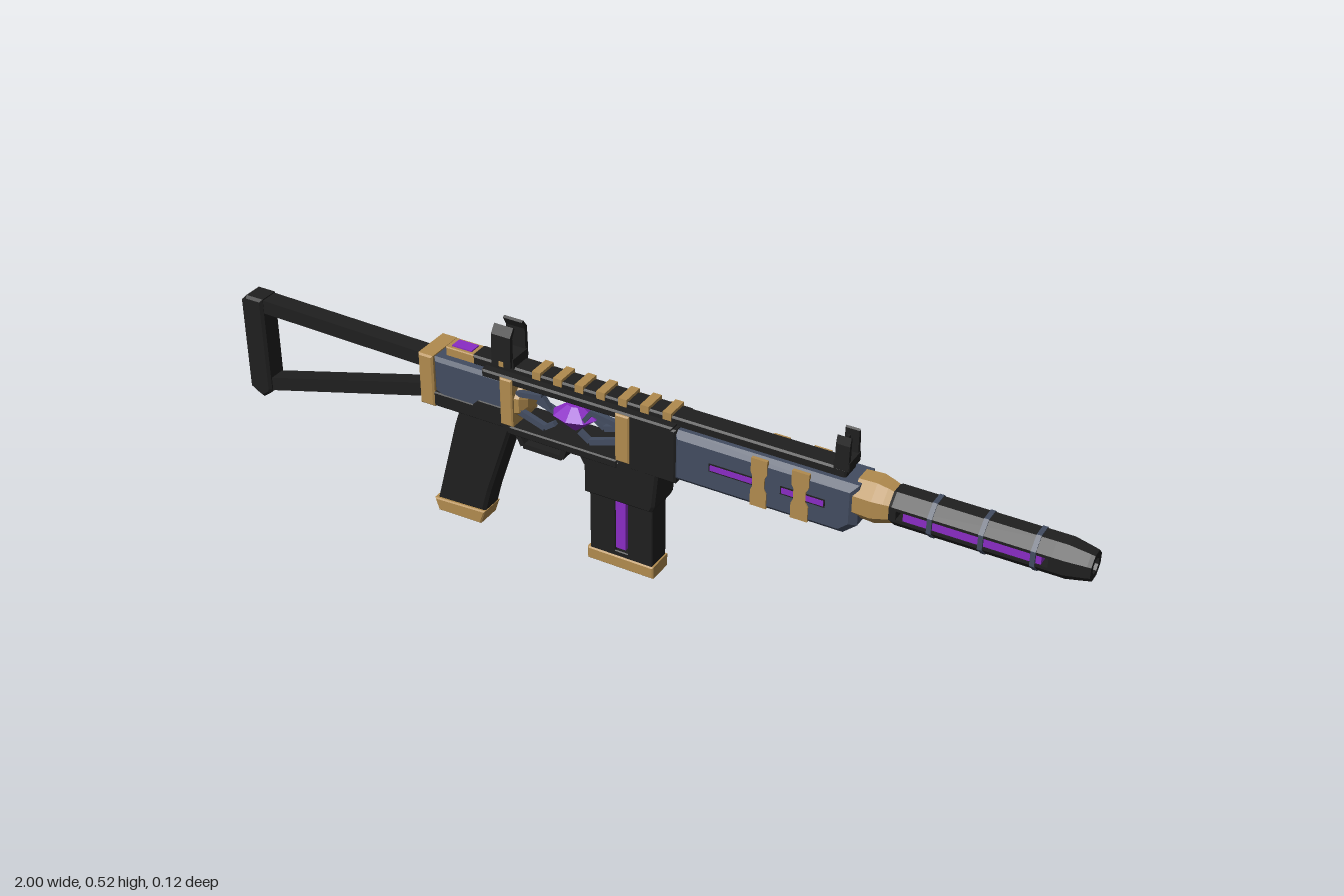
import * as THREE from 'three';

const material = (name, color) => {
  const m = new THREE.MeshStandardMaterial({ color });
  m.name = name;
  return m;
};

export function createModel() {
  const model = new THREE.Group();
  model.name = 'rifle';
  const body = new THREE.Group();
  body.name = 'rifleBody';
  body.position.z = 0.008;
  model.add(body);

  const black = material('black', 0x1f1f1f);
  const blue = material('slateBlue', 0x424c60);
  const gold = material('gold', 0xb18b4e);
  const purple = material('purple', 0x8a2cc4);

  const add = (name, geo, mat) => {
    const mesh = new THREE.Mesh(geo, mat);
    mesh.name = name;
    body.add(mesh);
    return mesh;
  };
  const toShape = pts => new THREE.Shape(pts.map(p => new THREE.Vector2(p[0], p[1])));
  const toPath = pts => new THREE.Path(pts.map(p => new THREE.Vector2(p[0], p[1])));

  // Side outline (x, y) given a width across z, with chamfered edges
  const profile = (name, pts, width, mat, bevel = 0.006, hole) => {
    const shape = toShape(pts);
    if (hole) shape.holes.push(toPath(hole));
    const geo = new THREE.ExtrudeGeometry(shape, {
      depth: width - 2 * bevel, bevelEnabled: bevel > 0, bevelSize: bevel,
      bevelThickness: bevel, bevelOffset: -bevel, bevelSegments: 1, curveSegments: 4
    });
    geo.translate(0, 0, -width / 2 + bevel);
    return add(name, geo, mat);
  };
  const rect = (x0, x1, y0, y1) => [[x0, y0], [x1, y0], [x1, y1], [x0, y1]];
  const block = (name, x0, x1, y0, y1, width, mat, bevel = 0.004) =>
    profile(name, rect(x0, x1, y0, y1), width, mat, bevel);
  const box = (name, x0, x1, y0, y1, z0, z1, mat) => {
    const geo = new THREE.BoxGeometry(x1 - x0, y1 - y0, z1 - z0);
    geo.translate((x0 + x1) / 2, (y0 + y1) / 2, (z0 + z1) / 2);
    return add(name, geo, mat);
  };
  // Cross-section (z, y) swept along x
  const section = (name, pts, x0, x1, mat) => {
    const geo = new THREE.ExtrudeGeometry(toShape(pts), { depth: x1 - x0, bevelEnabled: false });
    geo.rotateY(Math.PI / 2).translate(x0, 0, 0);
    return add(name, geo, mat);
  };
  // Faceted octagonal turning along x: list of [x, radius]
  const turned = (name, pts, y, mat) => {
    const k = 1 / Math.cos(Math.PI / 8);
    const outline = pts.map(([x, r]) => new THREE.Vector2(r * k, x));
    const geo = new THREE.LatheGeometry(outline, 8, Math.PI / 8).toNonIndexed();
    geo.computeVertexNormals();
    geo.rotateZ(-Math.PI / 2).translate(0, y, 0);
    return add(name, geo, mat);
  };
  // Square bar between two points in the side plane
  const bar = (name, a, b, thick, width, mat, z = 0) => {
    const dx = b[0] - a[0], dy = b[1] - a[1];
    const geo = new THREE.BoxGeometry(Math.hypot(dx, dy), thick, width);
    geo.rotateZ(Math.atan2(dy, dx)).translate((a[0] + b[0]) / 2, (a[1] + b[1]) / 2, z);
    return add(name, geo, mat);
  };

  // Skeleton stock
  profile('buttPad', [[-0.985, 0.155], [-0.965, 0.145], [-0.945, 0.16], [-0.94, 0.17],
    [-0.94, 0.405], [-0.985, 0.405], [-1, 0.39], [-1, 0.165]], 0.056, black, 0.006);
  bar('upperStockBar', [-0.95, 0.386], [-0.48, 0.378], 0.033, 0.042, black);
  bar('lowerStockBar', [-0.96, 0.178], [-0.48, 0.31], 0.032, 0.038, black);
  block('stockMount', -0.5, -0.463, 0.288, 0.413, 0.1, gold);

  // Rear receiver
  profile('rearReceiver', [[-0.465, 0.325], [-0.44, 0.315], [-0.27, 0.315], [-0.27, 0.41],
    [-0.465, 0.41]], 0.092, blue, 0.008);
  profile('lowerReceiver', [[-0.465, 0.29], [-0.29, 0.29], [-0.275, 0.278], [-0.1, 0.278],
    [-0.01, 0.278], [-0.01, 0.298], [-0.27, 0.298], [-0.29, 0.34], [-0.35, 0.34],
    [-0.365, 0.325], [-0.465, 0.325]], 0.096, black, 0.003);
  block('receiverRoof', -0.34, 0.12, 0.399, 0.418, 0.092, black);
  block('rearBand', -0.293, -0.262, 0.3, 0.414, 0.102, gold, 0.003);
  block('frontBand', -0.012, 0.021, 0.3, 0.414, 0.102, gold, 0.003);
  bar('selectorLever', [-0.385, 0.37], [-0.345, 0.345], 0.015, 0.006, black, -0.046);

  // Rear top box with glowing plate
  block('rearTopBox', -0.445, -0.37, 0.405, 0.43, 0.045, gold, 0.002);
  box('rearTopPlate', -0.434, -0.384, 0.428, 0.433, -0.014, 0.014, purple);

  // Crystal chamber in the open window
  turned('crystalSocket', [[-0.265, 0], [-0.265, 0.044], [-0.252, 0.04], [-0.242, 0.02],
    [-0.242, 0]], 0.35, gold);
  const gem = (name, top, bottom, y0, y1) => {
    const geo = new THREE.CylinderGeometry(top, bottom, y1 - y0, 8).toNonIndexed();
    geo.computeVertexNormals();
    geo.scale(1, 1, 0.75).translate(-0.138, (y0 + y1) / 2, 0);
    add(name, geo, purple);
  };
  gem('crystalCrown', 0.018, 0.052, 0.345, 0.37);
  gem('crystalPoint', 0.052, 0.006, 0.308, 0.345);
  for (const z of [-0.03, 0.03]) {
    for (const s of [-1, 1]) {
      const at = (dx, y) => [-0.138 + s * dx, y];
      bar('upperCrystalClaw', at(0.125, 0.375), at(0.06, 0.385), 0.012, 0.012, blue, z);
      bar('upperClawTip', at(0.06, 0.385), at(0.042, 0.36), 0.01, 0.012, blue, z);
      bar('lowerCrystalClaw', at(0.125, 0.335), at(0.055, 0.312), 0.014, 0.012, blue, z);
      bar('lowerClawTip', at(0.055, 0.312), at(0.03, 0.33), 0.01, 0.012, blue, z);
    }
  }

  // Front receiver and magazine well
  block('frontReceiver', 0.015, 0.128, 0.285, 0.414, 0.092, black);
  profile('magazineWell', [[-0.092, 0.19], [0.07, 0.19], [0.077, 0.205], [0.085, 0.285],
    [0.12, 0.295], [0.12, 0.325], [0.02, 0.325], [-0.01, 0.295], [-0.11, 0.288],
    [-0.092, 0.255]], 0.09, black, 0.006);
  const knob = new THREE.CylinderGeometry(0.018, 0.018, 0.011, 8).rotateX(Math.PI / 2).toNonIndexed();
  knob.computeVertexNormals();
  knob.translate(0.058, 0.385, -0.0605);
  add('chargingKnob', knob, gold);
  box('chargingStem', 0.051, 0.065, 0.379, 0.392, -0.056, -0.04, gold);

  // Magazine with a slot and glowing core
  profile('magazine', rect(-0.086, 0.066, 0.03, 0.21), 0.06, black, 0.002,
    rect(-0.024, 0.006, 0.054, 0.2));
  box('magazineCore', -0.024, 0, 0.06, 0.2, -0.027, 0.027, purple);
  block('magazineBase', -0.092, 0.07, 0.012, 0.042, 0.066, gold, 0.003);

  // Grip
  profile('grip', [[-0.485, 0.03], [-0.36, 0.035], [-0.345, 0.09], [-0.275, 0.3], [-0.41, 0.3],
    [-0.43, 0.24]], 0.06, black, 0.007);
  profile('gripBase', [[-0.482, 0], [-0.37, 0.002], [-0.358, 0.037], [-0.492, 0.031]], 0.064, gold, 0.003);

  // Trigger and guard
  const guard = [[-0.285, 0.285], [-0.26, 0.236], [-0.164, 0.236], [-0.148, 0.285]];
  for (let i = 0; i < 3; i++) bar('triggerGuard', guard[i], guard[i + 1], 0.012, 0.036, black);
  bar('trigger', [-0.205, 0.285], [-0.212, 0.248], 0.01, 0.016, black);

  // Handguard
  profile('handguard', [[0.12, 0.292], [0.5, 0.292], [0.53, 0.318], [0.53, 0.412], [0.12, 0.412]],
    0.098, blue, 0.014);
  for (const s of [-1, 1]) {
    for (const [x0, x1] of [[0.302, 0.338], [0.392, 0.43]]) {
      const m = (x0 + x1) / 2;
      const plate = profile('handguardBand', [[x0, 0.3], [x1, 0.3], [x1, 0.335], [m + 0.013, 0.345],
        [m + 0.013, 0.37], [x1, 0.38], [x1, 0.412], [x0, 0.412], [x0, 0.38], [m - 0.014, 0.37],
        [m - 0.014, 0.345], [x0, 0.335]], 0.008, gold, 0);
      plate.position.z = s * 0.048;
    }
    for (const [x0, x1] of [[0.21, 0.305], [0.37, 0.462]]) {
      const z = s * 0.048;
      box('handguardSlot', x0 - 0.003, x1 + 0.003, 0.346, 0.365, z - 0.002, z + 0.002, black);
      box('handguardGlow', x0, x1, 0.349, 0.362, z - 0.003, z + 0.003, purple);
    }
  }
  box('rearSidePlate', 0.165, 0.205, 0.33, 0.36, -0.0515, -0.045, black);

  // Top rail with gold teeth
  block('topRail', -0.375, 0.495, 0.408, 0.431, 0.05, black);
  for (let i = 0; i < 7; i++) {
    const x = -0.215 + i * 0.052;
    box('railTooth', x - 0.01, x + 0.01, 0.42, 0.438, -0.027, 0.027, gold);
  }

  // Rear sight with hooked ears
  box('rearSightBase', -0.323, -0.27, 0.428, 0.452, -0.028, 0.028, black);
  for (const s of [-1, 1]) {
    const ear = [[0.035, 0.432], [0.033, 0.504], [0.019, 0.523], [0.014, 0.519], [0.024, 0.5],
      [0.024, 0.432]].map(([z, y]) => [s * z, y]);
    section('rearSightEar', ear, -0.32, -0.273, black);
    box('rearSightBolt', -0.302, -0.29, 0.432, 0.444, s * 0.033 - 0.003, s * 0.033 + 0.003, gold);
  }

  // Front sight with centre post
  box('frontSightBase', 0.468, 0.502, 0.428, 0.448, -0.026, 0.026, black);
  box('frontSightPost', 0.482, 0.488, 0.44, 0.495, -0.003, 0.003, black);
  for (const s of [-1, 1]) {
    const ear = [[0.027, 0.432], [0.025, 0.485], [0.02, 0.503], [0.016, 0.5], [0.017, 0.445]];
    section('frontSightEar', ear.map(([z, y]) => [s * z, y]), 0.47, 0.5, black);
  }

  // Gold collar and octagonal suppressor
  const Y = 0.372;
  turned('muzzleCollar', [[0.52, 0], [0.52, 0.045], [0.56, 0.047], [0.582, 0.041], [0.594, 0.037],
    [0.594, 0]], Y, gold);
  turned('suppressorRear', [[0.585, 0], [0.585, 0.034], [0.6, 0.039], [0.61, 0.039], [0.61, 0]], Y, black);
  turned('suppressorTip', [[0.92, 0], [0.92, 0.039], [0.95, 0.039], [0.992, 0.031], [1, 0.029],
    [1, 0.016], [0.975, 0.014], [0.975, 0]], Y, black);
  for (const s of [-1, 1]) {
    const half = [[-0.039, 0.01], [0.039, 0.01], [0.039, 0.0162], [0.0162, 0.039],
      [-0.0162, 0.039], [-0.039, 0.0162]].map(([z, y]) => [z, Y + s * y]);
    section('suppressorShell', half, 0.605, 0.925, black);
  }
  box('suppressorCore', 0.624, 0.906, Y - 0.011, Y + 0.011, -0.036, 0.036, purple);
  for (const x of [0.68, 0.785, 0.89]) {
    turned('suppressorRib', [[x - 0.005, 0], [x - 0.005, 0.041], [x + 0.005, 0.041], [x + 0.005, 0]], Y, blue);
  }
  return model;
}
